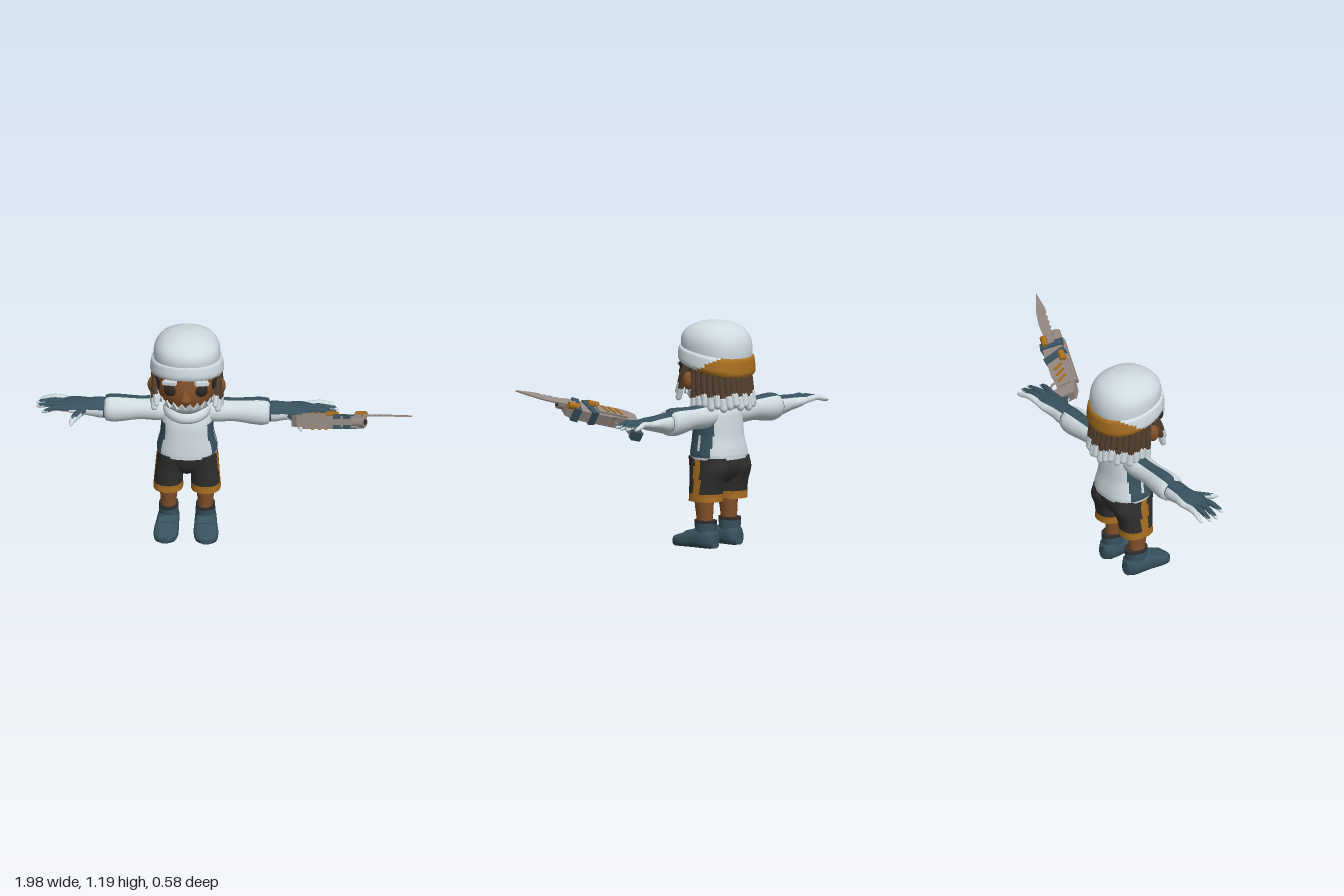
import * as THREE from 'three';
import { toCreasedNormals } from 'three/addons/utils/BufferGeometryUtils.js';

const mat = (name, color) => {
  const m = new THREE.MeshStandardMaterial({ color });
  m.name = name;
  return m;
};
const WHITE = mat('cloth white', 0xd0dbe0), TEAL = mat('dark teal', 0x38525e), BLACK = mat('charcoal', 0x302f2e),
  ORANGE = mat('ochre', 0xa86e20), SKIN = mat('skin brown', 0x83512a), HAIR = mat('hair brown', 0x54402f),
  METAL = mat('warm grey metal', 0x958982), EYE = mat('eye dark', 0x2b2624);

function add(parent, name, geo, material, pos = [0, 0, 0], rot = [0, 0, 0], scale = [1, 1, 1]) {
  const m = new THREE.Mesh(geo, material);
  m.name = name;
  m.position.set(...pos);
  m.rotation.set(...rot);
  m.scale.set(...scale);
  parent.add(m);
  return m;
}
const box = (x, y, z) => new THREE.BoxGeometry(x, y, z);

const smooth = (a, b, c, d, t) =>
  0.5 * (2 * b + (c - a) * t + (2 * a - 5 * b + 4 * c - d) * t * t + (3 * b - a - 3 * c + d) * t * t * t);

// Skins rounded cross-sections [t, u, v, ru, rv] along an axis; pick() chooses the material of each face
function loft(parent, name, rows, mats, { axis = 'y', n = 24, sub = 3, p = 2, pick = () => 0, warp = v => v } = {}) {
  const R = [], last = rows.length - 1;
  for (let i = 0; i < last; i++) for (let k = 0; k < sub; k++) {
    const [a, b, c, d] = [rows[Math.max(i - 1, 0)], rows[i], rows[i + 1], rows[Math.min(i + 2, last)]];
    R.push(b.map((_, q) => q === 0 ? b[0] + (c[0] - b[0]) * k / sub : smooth(a[q], b[q], c[q], d[q], k / sub)));
  }
  R.push(rows[last]);
  const pw = c => Math.sign(c) * Math.abs(c) ** (2 / p);
  const place = (t, u, v) => axis === 'y' ? [u, t, v] : axis === 'x' ? [t, u, v] : [u, v, t];
  const pts = [];
  R.forEach(([t, u, v, ru, rv]) => {
    for (let j = 0; j < n; j++) {
      const a = j / n * Math.PI * 2;
      pts.push(place(t, u + ru * pw(Math.cos(a)), v + rv * pw(Math.sin(a))));
    }
  });
  const m = R.length - 1, flip = (axis === 'y') !== (R[m][0] < R[0][0]);
  pts.push(place(...R[0]), place(...R[m]));
  const faces = mats.map(() => []);
  const tri = (a, b, c, k) => faces[k].push(...(flip ? [a, c, b] : [a, b, c]));
  for (let j = 0; j < n; j++) {
    const j2 = (j + 1) % n;
    for (let i = 0; i < m; i++) {
      const q = [i * n + j, i * n + j2, (i + 1) * n + j2, (i + 1) * n + j];
      const k = pick(...[0, 1, 2].map(e => q.reduce((s, id) => s + pts[id][e], 0) / 4));
      tri(q[0], q[1], q[2], k);
      tri(q[0], q[2], q[3], k);
    }
    const k0 = pick(...pts[j]), k1 = pick(...pts[m * n + j]);
    tri(pts.length - 2, j2, j, k0);
    tri(pts.length - 1, m * n + j, m * n + j2, k1);
  }
  const geo = new THREE.BufferGeometry();
  geo.setAttribute('position', new THREE.Float32BufferAttribute(pts.flatMap((v, i) => warp(v, Math.floor(i / n), i % n)), 3));
  geo.setIndex(faces.flat());
  let start = 0;
  faces.forEach((f, k) => { if (f.length) geo.addGroup(start, f.length, k); start += f.length; });
  return add(parent, name, toCreasedNormals(geo, 0.9), mats);
}

function buildHead(body) {
  loft(body, 'head', [[.75, 0, -.06, .07, .08], [.78, 0, -.06, .12, .13], [.85, 0, -.06, .152, .16],
    [.92, 0, -.06, .163, .168], [1.0, 0, -.07, .163, .168]], [SKIN, HAIR], { n: 40, pick: (x, y, z) => z < -.06 ? 1 : 0 });
  // Beard shell with a spiky upper edge
  loft(body, 'beard', [[.74, 0, -.06, .075, .09], [.78, 0, -.06, .126, .137], [.805, 0, -.06, .142, .152],
    [.845, 0, -.06, .156, .165]], [WHITE], { n: 44, sub: 1, warp: (v, i, j) => i === 3 && j % 2 ? [v[0], v[1] - .04, v[2]] : v });
  loft(body, 'nose', [[.845, 0, .09, .03, .02], [.865, 0, .1, .032, .033], [.9, 0, .1, .018, .02], [.94, 0, .09, .012, .012]],
    [SKIN], { n: 10 });
  for (const s of [-1, 1]) {
    add(body, 'eye', new THREE.SphereGeometry(.034, 18, 12), EYE, [s * .083, .917, .084], [0, s * .4, 0], [1, 1, .6]);
    add(body, 'eyebrow', box(.075, .018, .03), WHITE, [s * .083, .965, .09], [0, s * .4, -s * .15]);
    add(body, 'ear', new THREE.SphereGeometry(.045, 12, 10), SKIN, [s * .175, .885, -.03], [0, 0, 0], [.65, 1.05, .7]);
    add(body, 'sideburn', box(.008, .085, .05), BLACK, [s * .15, .94, .025], [.5, s * -.45, 0]);
  }

  // Knit cap, higher at the front than at the back
  const tilt = ([x, y, z]) => [x, y + .22 * (z + .075) * Math.min(1, Math.max(0, (1.19 - y) / .2)), z];
  loft(body, 'capCrown', [[1.0, 0, -.075, .172, .18], [1.06, 0, -.075, .175, .187], [1.11, 0, -.075, .167, .177],
    [1.15, 0, -.075, .138, .145], [1.178, 0, -.072, .085, .09], [1.19, 0, -.07, .02, .02]], [WHITE], { n: 32, p: 2.2, warp: tilt });
  loft(body, 'capBand', [[.95, 0, -.075, .186, .194], [.965, 0, -.075, .193, .2], [1.0, 0, -.075, .19, .198],
    [1.03, 0, -.075, .184, .193], [1.038, 0, -.075, .17, .18]], [WHITE, ORANGE],
  { n: 56, p: 2.2, warp: tilt, pick: (x, y, z) => z < -.11 && y < .963 + (-z - .11) * .7 ? 1 : 0 });

  // Dreadlocks around the sides and back, with pale tips
  const lock = (top, mid, end, r) => {
    const [a, b, c] = [top, mid, end].map(v => new THREE.Vector3(...v));
    add(body, 'dreadlock', new THREE.TubeGeometry(new THREE.CatmullRomCurve3([a, b, c]), 6, r, 7), HAIR);
    const dir = c.clone().sub(b).normalize();
    const tip = add(body, 'dreadlockTip', new THREE.CapsuleGeometry(r * 1.12, .045, 3, 8), WHITE, c.clone().addScaledVector(dir, .02).toArray());
    tip.quaternion.setFromUnitVectors(new THREE.Vector3(0, 1, 0), dir);
  };
  const N = 19;
  for (let i = 0; i < N; i++) {
    const a = Math.PI * (-.02 + 1.04 * i / (N - 1)), c = Math.cos(a), s = -Math.sin(a), w = (i * 7 % 5 - 2) * .006;
    lock([.165 * c, .99 + .07 * s, -.075 + .165 * s], [.172 * c, .88, -.075 + .172 * s],
      [.172 * c, .8 + w, -.08 + .182 * s], .0185);
  }
  for (const s of [-1, 1]) {
    lock([s * .16, .98, -.04], [s * .172, .9, .005], [s * .168, .83, .03], .015);
    lock([s * .155, .99, -.01], [s * .166, .92, .02], [s * .158, .86, .045], .013);
  }
}

function buildTorso(body) {
  loft(body, 'sweater', [[.47, 0, -.09, .156, .13], [.5, 0, -.09, .157, .13], [.58, 0, -.085, .14, .12], [.66, 0, -.085, .135, .113],
    [.72, 0, -.09, .122, .1], [.765, 0, -.09, .08, .075]], [WHITE, TEAL], {
    n: 72, sub: 5, p: 2.4, pick: (x, y, z) => Math.abs(x) > .09 && z > -.155 && z < -.005 && y > .48 && y < .66 &&
      !(Math.abs(z + .08) < .012 && y > .52 && y < .59) ? 1 : 0 });
  add(body, 'collar', new THREE.TorusGeometry(.092, .036, 12, 28), WHITE, [0, .735, -.068], [Math.PI / 2 + .18, 0, 0]);
  add(body, 'collarFold', new THREE.TorusGeometry(.075, .026, 10, 28), WHITE, [0, .765, -.068], [Math.PI / 2 + .1, 0, 0]);
}

function buildArm(body, s) {
  const side = rows => rows.map(([t, ...r]) => [s * t, ...r]);
  loft(body, 'sleeve', side([[.07, .7, -.105, .05, .06], [.14, .7, -.105, .064, .07], [.25, .7, -.105, .061, .064], [.37, .695, -.105, .073, .074],
    [.422, .695, -.105, .068, .07], [.436, .695, -.105, .045, .05]]), [WHITE, TEAL],
  { axis: 'x', n: 32, pick: (x, y, z) => y > .7 && Math.abs(z + .115) < .026 && Math.abs(x) > .13 ? 1 : 0 });
  loft(body, 'glove', side([[.425, .695, -.105, .05, .054], [.445, .695, -.105, .054, .06], [.52, .7, -.105, .043, .06], [.58, .705, -.105, .034, .073],
    [.635, .71, -.105, .02, .07], [.665, .71, -.105, .012, .055]]), [WHITE, TEAL],
  { axis: 'x', pick: (x, y, z) => Math.abs(x) < .44 || (y > .712 && z > -.15) ? 1 : 0 });
  [[-.158, -.178, .77], [-.125, -.135, .79], [-.088, -.095, .79], [-.056, -.037, .76]].forEach(([z0, z1, x1], i) =>
    loft(body, 'finger', side([[.62, .71, z0, .017, .019], [.69, .717, z0 * .6 + z1 * .4, .015, .016],
      [x1 - .02, .703, z1, .011, .012], [x1, .698, z1, .004, .005]]), [WHITE, TEAL],
    { axis: 'x', n: 10, pick: (x, y) => i && y > .71 ? 1 : 0 }));
  loft(body, 'thumb', [[-.075, s * .53, .7, .03, .025], [-.02, s * .57, .695, .024, .021], [.03, s * .595, .685, .016, .016], [.06, s * .6, .675, .006, .006]],
    [WHITE, TEAL], { axis: 'z', n: 10, pick: (x, y) => y > .7 ? 1 : 0 });
}

function buildLeg(body, s) {
  loft(body, 'shortsLeg', [[.25, s * .098, -.085, .078, .09], [.29, s * .097, -.085, .076, .089], [.35, s * .093, -.09, .075, .098],
    [.42, s * .085, -.1, .077, .116], [.48, s * .08, -.09, .073, .118]], [BLACK, ORANGE], {
    n: 48, sub: 4, p: 2.4, pick: (x, y, z) => y < .287 || (Math.abs(z + .077) < .024 && s * x > .1) ? 1 : 0 });
  loft(body, 'shin', [[.1, s * .096, -.075, .04, .046], [.17, s * .096, -.075, .041, .047], [.23, s * .096, -.072, .047, .052],
    [.3, s * .096, -.075, .05, .055]], [SKIN], { n: 16 });
  loft(body, 'bootShaft', [[.03, s * .096, -.085, .055, .063], [.09, s * .096, -.083, .052, .06], [.125, s * .096, -.082, .051, .064],
    [.148, s * .096, -.082, .05, .066]], [TEAL, BLACK], { pick: (x, y) => y > .132 ? 1 : 0 });
  loft(body, 'bootFoot', [[-.15, s * .096, .043, .03, .04], [-.125, s * .096, .05, .054, .05], [-.02, s * .1, .05, .06, .05], [.04, s * .104, .038, .065, .038],
    [.09, s * .107, .03, .056, .03], [.115, s * .108, .024, .025, .016]], [TEAL], { axis: 'z', p: 2.8 });
  add(body, 'bootStrap', box(.085, .014, .035), TEAL, [s * .1, .083, .005], [.3, 0, 0]);
}

function buildGun(root) {
  // Gun frame: x along the barrel, y away from the grip, z towards the underside
  const gun = new THREE.Group();
  gun.name = 'bladedGun';
  const d = new THREE.Vector3(.885, .24, .4).normalize(), u = new THREE.Vector3(-.47, .4, .78);
  u.addScaledVector(d, -u.dot(d)).normalize();
  gun.applyMatrix4(new THREE.Matrix4().makeBasis(d, u, d.clone().cross(u)).setPosition(.54, .755, .09));
  root.add(gun);
  const plate = (name, pts, depth, z, m) => {
    const g = new THREE.ExtrudeGeometry(new THREE.Shape(pts.map(p => new THREE.Vector2(...p))), { depth, bevelEnabled: false });
    return add(gun, name, g, m, [0, 0, z]);
  };
  plate('gunBody', [[-.21, -.045], [-.08, -.045], [-.05, -.055], [.15, -.055], [.2, -.03], [.2, .05], [.08, .055], [-.17, .05], [-.21, .03]], .06, -.03, METAL);
  add(gun, 'topRail', box(.3, .03, .03), METAL, [.02, .055, 0]);
  add(gun, 'sidePanel', box(.17, .07, .08), METAL, [-.06, 0, 0]);
  for (const x of [.065, .145]) add(gun, 'band', box(.04, .125, .074), TEAL, [x, 0, 0], [0, 0, x < .1 ? -.25 : .15]);
  const barrel = new THREE.CylinderGeometry(.027, .027, .08, 14);
  add(gun, 'barrel', barrel, METAL, [.195, .035, 0], [0, 0, Math.PI / 2]);
  add(gun, 'muzzle', new THREE.CylinderGeometry(.016, .016, .008, 12), BLACK, [.234, .035, 0], [0, 0, Math.PI / 2]);
  for (const [x, y] of [[.175, -.03], [.04, .035]])
    add(gun, 'canister', new THREE.CylinderGeometry(.018, .018, .06, 12), ORANGE, [x, y, -.036], [0, 0, Math.PI / 2]);
  for (let i = 0; i < 3; i++) for (const z of [-.042, .042])
    add(gun, 'chevron', box(.015, .055, .006), ORANGE, [-.1 + i * .04, 0, z], [0, 0, -.5]);
  add(gun, 'grip', box(.045, .12, .04), METAL, [-.165, -.085, 0], [0, 0, -.1]);
  add(gun, 'gripCap', box(.055, .035, .05), TEAL, [-.172, -.145, 0], [0, 0, -.1]);
  add(gun, 'triggerGuard', new THREE.TorusGeometry(.028, .006, 6, 14), METAL, [-.11, -.055, 0]);
  // Blade with a serrated spine
  const edge = [[.15, -.022], [.3, -.03], [.38, -.022], [.505, .01], [.4, .028]];
  for (let i = 0; i < 5; i++) edge.push([.36 - i * .035, .03], [.35 - i * .035, .02]);
  plate('blade', [...edge, [.15, .022]], .008, -.038, METAL);
}

export function createModel() {
  const root = new THREE.Group(), body = new THREE.Group();
  root.name = 'figure';
  body.name = 'body';
  body.position.x = -.21;
  root.add(body);
  buildHead(body);
  buildTorso(body);
  loft(body, 'shortsSeat', [[.345, 0, -.095, .04, .06], [.38, 0, -.095, .1, .095], [.43, 0, -.095, .135, .115], [.48, 0, -.09, .14, .118]], [BLACK]);
  for (const s of [-1, 1]) {
    buildArm(body, s);
    buildLeg(body, s);
  }
  buildGun(root);
  return root;
}
